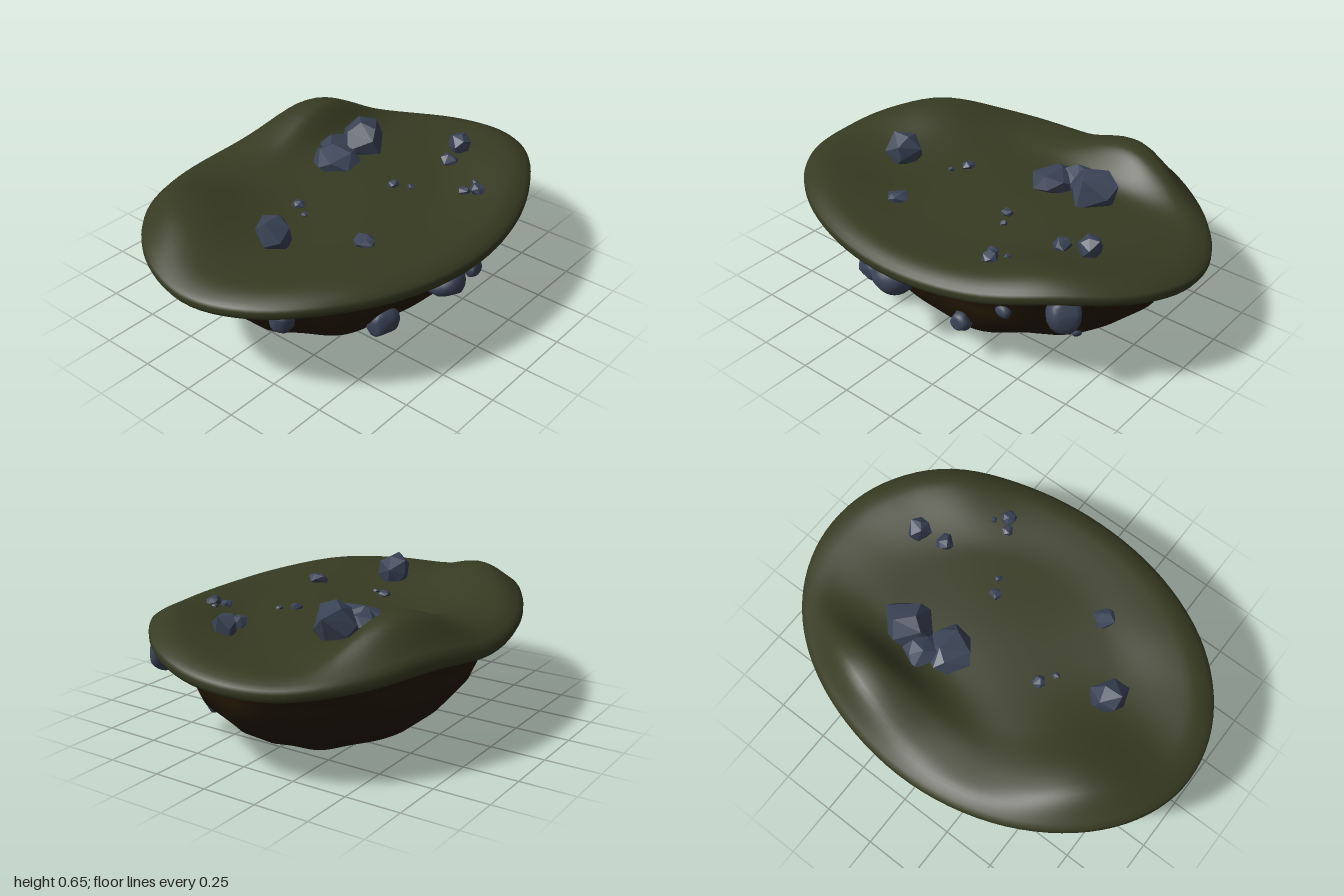
import * as THREE from 'three';
import { mergeVertices } from 'three/addons/utils/BufferGeometryUtils.js';
import { ConvexGeometry } from 'three/addons/geometries/ConvexGeometry.js';

const RX = 1, RZ = 0.74, SEG = 96;
const { smoothstep, lerp } = THREE.MathUtils;

// Height of the rim's lower edge at equal steps around the island, from +x towards +z
const RIM = [0.42, 0.46, 0.49, 0.45, 0.435, 0.445, 0.46, 0.45, 0.44, 0.47, 0.47, 0.44, 0.42, 0.45, 0.42, 0.4];

function rimHeight(angle) {
  const n = RIM.length;
  const f = ((angle / (Math.PI * 2)) * n + n * 2) % n;
  const i = Math.floor(f), k = f - i;
  const [a, b, c, d] = [-1, 0, 1, 2].map((o) => RIM[(i + o + n) % n]);
  return b + 0.5 * k * (c - a + k * (2 * a - 5 * b + 4 * c - d + k * (3 * (b - c) + d - a)));
}

const bump = (x, z, cx, cz, sx, sz) => Math.exp(-(((x - cx) / sx) ** 2) - ((z - cz) / sz) ** 2);

// Height of the grass at a point of the plan
function grassHeight(x, z) {
  const t = Math.hypot(x / RX, z / RZ);
  const angle = Math.atan2(z / RZ, x / RX);
  const inner = 0.512 + 0.008 * Math.sin(x * 5 + 1) * Math.cos(z * 6);
  let y = lerp(inner, rimHeight(angle) + 0.085, smoothstep(t, 0.5, 0.9));
  const fade = 1 - 0.8 * smoothstep(t, 0.82, 1);
  const crest = -0.46 + 0.06 * (x - 0.3);
  y += fade * 0.135 * bump(x, z, 0.38, crest, x < 0.38 ? 0.37 : 0.29, z > crest ? 0.11 : 0.24);
  y += fade * 0.068 * bump(x, z, -0.61, -0.28, 0.26, 0.26);
  return y - 0.04 * Math.max(0, (t - 0.87) / 0.13) ** 2;
}

// Skin a list of closed rings, each a function angle -> [x, y, z]; upward rings face outwards
function skin(rings) {
  const pos = [], index = [];
  rings.forEach((ring, r) => {
    for (let i = 0; i < SEG; i++) {
      pos.push(...ring((i / SEG) * Math.PI * 2));
      if (r === 0) continue;
      const j = (i + 1) % SEG;
      const a = (r - 1) * SEG + i, b = (r - 1) * SEG + j, c = r * SEG + i, d = r * SEG + j;
      index.push(a, c, b, b, c, d);
    }
  });
  const geo = new THREE.BufferGeometry();
  geo.setAttribute('position', new THREE.Float32BufferAttribute(pos, 3));
  geo.setIndex(index);
  const merged = mergeVertices(geo, 1e-5);
  merged.computeVertexNormals();
  return merged;
}

function seeded(seed) {
  let s = seed * 7919 + 17;
  return () => {
    s = (s * 16807) % 2147483647;
    return s / 2147483647;
  };
}

// Angular boulder: hull of scattered points on a sphere
function facetedStone(seed) {
  const rnd = seeded(seed), points = [];
  for (let i = 0; i < 15; i++) {
    const y = 1 - (2 * (i + 0.5)) / 15, a = i * 2.4 + rnd() * 0.8, w = Math.sqrt(1 - y * y);
    points.push(new THREE.Vector3(Math.cos(a) * w, y, Math.sin(a) * w).multiplyScalar(0.85 + rnd() * 0.25));
  }
  return new ConvexGeometry(points);
}

// Worn stone: sphere cut by a few soft planes
function roundedStone(seed) {
  const rnd = seeded(seed);
  const src = new THREE.IcosahedronGeometry(1, 4);
  src.deleteAttribute('uv');
  src.deleteAttribute('normal');
  const geo = mergeVertices(src);
  const p = geo.attributes.position, v = new THREE.Vector3();
  const cuts = Array.from({ length: 9 }, () =>
    new THREE.Vector3(rnd() - 0.5, rnd() - 0.5, rnd() - 0.5).normalize());
  for (let i = 0; i < p.count; i++) {
    v.fromBufferAttribute(p, i);
    for (const n of cuts) {
      const over = v.dot(n) - 0.78;
      if (over > 0) v.addScaledVector(n, -0.85 * over);
    }
    p.setXYZ(i, v.x, v.y, v.z);
  }
  geo.computeVertexNormals();
  return geo;
}

export function createModel() {
  const island = new THREE.Group();
  island.name = 'island';
  const grassMat = new THREE.MeshStandardMaterial({ color: 0x373b22 });
  const earthMat = new THREE.MeshStandardMaterial({ color: 0x261904 });
  const stoneMat = new THREE.MeshStandardMaterial({ color: 0x3a4356 });
  const boulderMat = new THREE.MeshStandardMaterial({ color: 0x3a4356, flatShading: true });
  const add = (name, geo, mat) => {
    const mesh = new THREE.Mesh(geo, mat);
    mesh.name = name;
    island.add(mesh);
    return mesh;
  };

  // Grass: underside of the lip, rounded lip, then the domed top in to the centre
  const grassRings = [[0.9, 0.01], [0.95, -0.002], [0.99, 0], [1, 0.015], [1, 0.035]].map(([t, dy]) => (a) =>
    [RX * t * Math.cos(a), rimHeight(a) + dy, RZ * t * Math.sin(a)]);
  const STEPS = 40;
  for (let k = STEPS; k >= 0; k--) {
    const t = (k / STEPS) * 0.994;
    grassRings.push((a) => {
      const x = RX * t * Math.cos(a), z = RZ * t * Math.sin(a);
      return [x, grassHeight(x, z), z];
    });
  }
  add('grassTop', skin(grassRings), grassMat);

  // Earth: lumpy bowl, nearly flat below and flared under the lip; [radius, height, share of rim height]
  const profile = [[0, 0.02, 0], [0.48, 0.02, 0], [0.64, 0.12, 0], [0.76, 0.23, 0], [0.8, 0.32, 0],
    [0.83, 0.4, 0.25], [0.93, 0.44, 1]];
  const earthRings = profile.map(([t, y, follow]) => (a) => {
    const lump = 1 + (1 - follow) * (0.02 * Math.sin(5 * a + 1 + y * 6) + 0.012 * Math.sin(11 * a + y * 9));
    const wave = t * (1 - follow) * (0.014 * Math.sin(7 * a + 2) - 0.016 * Math.cos(a));
    const shift = t * (1 - follow);
    return [
      RX * t * lump * Math.cos(a) + 0.025 * shift,
      Math.max(0, lerp(y + wave, rimHeight(a) + 0.005, follow)),
      RZ * t * lump * Math.sin(a) - 0.01 * shift,
    ];
  });
  add('earthBody', skin(earthRings), earthMat);

  // Boulders and pebbles on the grass: x, z, radius, flatness
  const topStones = [[-0.52, 0.06, 0.09, 1.1], [0.16, -0.18, 0.115, 0.5], [0.25, -0.25, 0.095, 0.7],
    [0.37, -0.2, 0.12, 1], [-0.24, -0.06, 0.033, 0.6], [-0.28, 0.01, 0.017, 0.7], [0.16, 0.15, 0.03, 0.7],
    [0.2, 0.22, 0.018, 0.7], [0.5, 0.21, 0.045, 0.8], [0.62, 0.18, 0.056, 1.25], [-0.29, 0.35, 0.054, 0.5],
    [0.31, 0.43, 0.03, 0.7], [0.34, 0.48, 0.038, 0.7], [0.39, 0.43, 0.016, 0.7]];
  topStones.forEach(([x, z, r, flatness], i) => {
    const stone = add(r > 0.04 ? 'boulder' : 'pebble', facetedStone(i + 3), boulderMat);
    stone.position.set(x, grassHeight(x, z) + 0.35 * r * flatness, z);
    stone.scale.set(r, r * flatness, r);
    stone.rotation.y = i * 1.3;
  });

  // Stones set in the earth wall: x, y, z, half sizes
  const wallStones = [[-0.08, 0.34, 0.61, 0.095, 0.085, 0.095], [-0.33, 0.205, 0.49, 0.085, 0.065, 0.06],
    [-0.75, 0.37, 0.31, 0.055, 0.062, 0.06], [0.695, 0.41, 0.455, 0.075, 0.085, 0.075],
    [0.44, 0.34, 0.52, 0.035, 0.032, 0.03], [0.235, 0.21, 0.545, 0.05, 0.045, 0.045],
    [0.62, 0.175, 0.26, 0.028, 0.027, 0.03]];
  wallStones.forEach(([x, y, z, sx, sy, sz], i) => {
    const stone = add('wallStone', roundedStone(i + 21), stoneMat);
    stone.position.set(x, y, z);
    stone.scale.set(sx, sy, sz);
  });

  return island;
}
